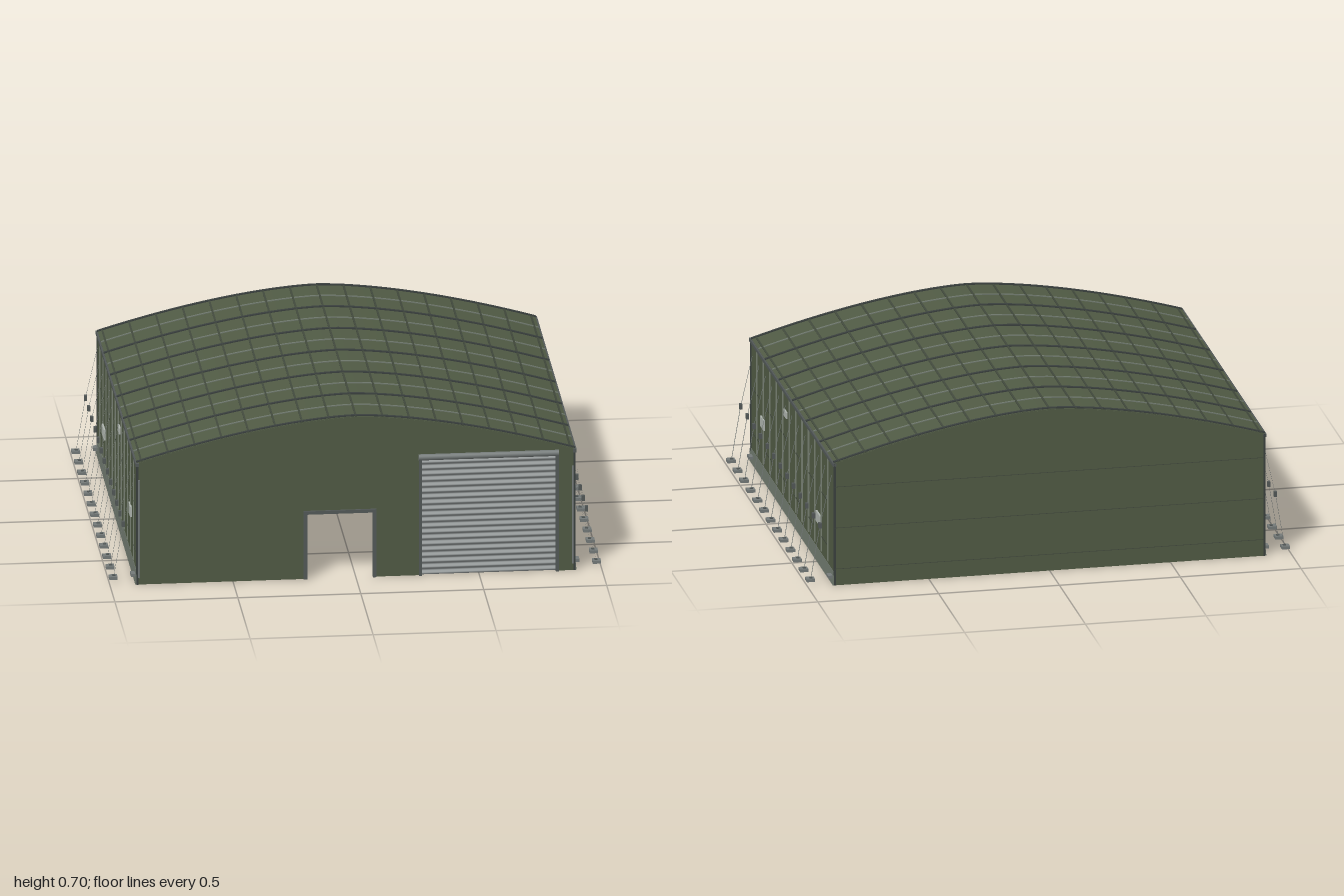
import * as THREE from 'three';

const mat = (name, color, side = THREE.FrontSide) => {
  const m = new THREE.MeshStandardMaterial({ color, side });
  m.name = name;
  return m;
};

export function createModel() {
  const canvas = mat('olive canvas', 0x505a44);
  const frame = mat('dark frame', 0x3a403e);
  const seam = mat('dark olive seam', 0x41493c);
  const rail = mat('rail grey', 0x525857);
  const strap = mat('grey green strap', 0x798273);
  const steel = mat('grey steel', 0x737978, THREE.DoubleSide);
  const slat = mat('shutter grey', 0x8c9191, THREE.DoubleSide);
  const skirtGrey = mat('skirt grey', 0x6d766b);
  const patch = mat('pale patch', 0xaeb4ae);

  const root = new THREE.Group();
  root.name = 'archedShelter';
  const W = 0.89, Z0 = -0.81, Z1 = 0.8, EAVE = 0.52;
  const L = Z1 - Z0, ZC = (Z0 + Z1) / 2;
  const roofY = x => 0.69 - 0.168 * Math.pow(Math.abs(x) / W, 1.6);

  const add = (name, geo, m, x = 0, y = 0, z = 0, parent = root) => {
    const mesh = new THREE.Mesh(geo, m);
    mesh.name = name;
    mesh.position.set(x, y, z);
    parent.add(mesh);
    return mesh;
  };
  const box = (name, m, w, h, d, x, y, z, parent) =>
    add(name, new THREE.BoxGeometry(w, h, d), m, x, y, z, parent);

  // band following the roof curve, between two offsets from it
  const N = 48;
  const arch = (name, m, low, high, z, depth, w = W) => {
    const s = new THREE.Shape();
    for (let i = 0; i <= N; i++) {
      const x = -w + 2 * w * i / N;
      if (i) s.lineTo(x, roofY(x) + high); else s.moveTo(x, roofY(x) + high);
    }
    for (let i = N; i >= 0; i--) {
      const x = -w + 2 * w * i / N;
      s.lineTo(x, roofY(x) + low);
    }
    s.closePath();
    return add(name, new THREE.ExtrudeGeometry(s, { depth, bevelEnabled: false }), m, 0, 0, z);
  };

  // end wall, with optional openings reaching the ground
  const gable = (name, z, openings) => {
    const s = new THREE.Shape();
    s.moveTo(-W, 0);
    for (const [a, b, h] of openings) {
      s.lineTo(a, 0); s.lineTo(a, h); s.lineTo(b, h); s.lineTo(b, 0);
    }
    s.lineTo(W, 0);
    for (let i = N; i >= 0; i--) {
      const x = -W + 2 * W * i / N;
      s.lineTo(x, roofY(x) - 0.004);
    }
    s.closePath();
    add(name, new THREE.ExtrudeGeometry(s, { depth: 0.008, bevelEnabled: false }), canvas, 0, 0, z);
  };
  gable('frontWall', Z1 - 0.007, [[-0.2, 0.07, 0.28], [0.265, 0.815, 0.5]]);
  gable('backWall', Z0 - 0.001, []);
  for (const y of [0.07, 0.245, 0.42])
    box('backWallSeam', seam, 2 * W, 0.0025, 0.01, 0, y, Z0 + 0.003);

  // roof shell, main arches and lighter straps between them
  arch('roof', canvas, -0.01, 0, Z0, L);
  const bay = (L - 0.02) / 6;
  const archZ = i => Z0 + 0.01 + bay * i;
  for (let i = 0; i <= 6; i++) {
    arch('roofArch', frame, -0.004, 0.005, archZ(i) - 0.006, 0.012, W + 0.002);
    const inset = i === 0 ? 0.006 : i === 6 ? -0.008 : 0;
    arch('innerArch', frame, -0.026, -0.01, archZ(i) - 0.007 + inset, 0.014, W - 0.01);
    if (i < 6) arch('roofStrap', skirtGrey, -0.002, 0.003, archZ(i + 0.5) - 0.005, 0.01);
  }
  // purlins, tilted to the roof slope
  for (let i = -8; i <= 8; i++) {
    const x = i * 0.109, e = 0.005;
    const tilt = Math.atan2(roofY(x + e) - roofY(x - e), 2 * e);
    const p = box('purlin', seam, 0.008, 0.005, L, x, roofY(x) + 0.0005, ZC);
    const q = box('innerPurlin', seam, 0.007, 0.007, L - 0.02, x * 0.99, roofY(x) - 0.014, ZC);
    p.rotation.z = q.rotation.z = tilt;
  }

  // doorway frame
  const door = new THREE.Group();
  door.name = 'doorwayFrame';
  root.add(door);
  for (const x of [-0.206, 0.076]) box('doorPost', rail, 0.015, 0.292, 0.018, x, 0.146, Z1, door);
  box('doorLintel', rail, 0.267, 0.014, 0.018, -0.065, 0.285, Z1, door);

  // roller shutter with wavy slats, rails and drum
  const shutter = new THREE.Group();
  shutter.name = 'rollerShutter';
  root.add(shutter);
  const sheet = new THREE.PlaneGeometry(0.55, 0.5, 1, 160);
  const pos = sheet.attributes.position;
  for (let i = 0; i < pos.count; i++)
    pos.setZ(i, 0.0043 * Math.sin(pos.getY(i) * 2 * Math.PI / 0.025));
  sheet.computeVertexNormals();
  add('shutterSheet', sheet, slat, 0.54, 0.252, Z1 - 0.002, shutter);
  for (const x of [0.262, 0.818]) box('shutterRail', rail, 0.012, 0.51, 0.022, x, 0.255, Z1, shutter);
  const drum = new THREE.CylinderGeometry(0.013, 0.013, 0.57, 16).rotateZ(Math.PI / 2);
  add('shutterDrum', drum, steel, 0.54, 0.506, Z1 + 0.002, shutter);

  // flat cord running in x and y, its width along z
  const cord = (name, [x1, y1], [x2, y2], z, width, parent) => {
    const geo = new THREE.PlaneGeometry(Math.hypot(x2 - x1, y2 - y1), width).rotateX(-Math.PI / 2);
    const mesh = add(name, geo, steel, (x1 + x2) / 2, (y1 + y2) / 2, z, parent);
    mesh.rotation.z = Math.atan((y2 - y1) / (x2 - x1));
  };

  // long sides, mirrored
  for (const s of [-1, 1]) {
    const side = new THREE.Group();
    side.name = s > 0 ? 'leftSide' : 'rightSide';
    root.add(side);
    box('sideWall', canvas, 0.008, EAVE, L, s * (W - 0.004), EAVE / 2, ZC, side);
    box('eaveRail', rail, 0.014, 0.014, L + 0.01, s * W, EAVE - 0.006, ZC + 0.003, side);
    const skirt = box('groundSkirt', skirtGrey, 0.005, 0.054, L, s * (W + 0.002), 0.027, ZC, side);
    skirt.rotation.z = s * 0.1;

    // corner posts, pipes and brackets
    for (const z of [Z0 + 0.003, Z1 - 0.001])
      box('cornerPost', frame, 0.008, EAVE, 0.01, s * (W - 0.001), EAVE / 2, z, side);
    add('cornerPipe', new THREE.CylinderGeometry(0.004, 0.004, 0.42, 8), steel,
      s * 0.882, 0.24, Z1 + 0.006, side);
    for (const z of [-0.775, 0.755])
      box('cornerBracket', steel, 0.018, 0.012, 0.035, s * 0.903, 0.03, z, side);

    // inner posts and girts
    for (let i = 0; i <= 6; i++)
      box('innerPost', steel, 0.014, EAVE - 0.02, 0.014, s * (W - 0.015), EAVE / 2,
        THREE.MathUtils.clamp(archZ(i), Z0 + 0.016, Z1 - 0.016), side);
    for (const y of [0.13, 0.32]) {
      box('innerGirt', rail, 0.004, 0.004, L - 0.02, s * (W - 0.01), y, ZC, side);
      for (let i = 0; i < 6; i++)
        box('lacing', seam, 0.003, 0.005, 0.12, s * (W + 0.001), y, archZ(i + 0.5) + 0.05, side);
    }

    // vertical straps between the guy lines
    for (let i = 0; i < 12; i++)
      box('wallStrap', strap, 0.006, 0.44, 0.012, s * (W + 0.001), 0.285, -0.69 + i * 0.1245, side);

    // pale patches: z, y, length, height
    for (const [z, y, d, h] of [[0.56, 0.238, 0.066, 0.044], [0.117, 0.425, 0.052, 0.027],
      [-0.496, 0.19, 0.037, 0.044], [-0.538, 0.19, 0.042, 0.044]])
      box('wallPatch', patch, 0.007, h, d, s * (W + 0.004), y, z, side);

    // guy lines with tensioners and ground feet
    for (let i = 0; i < 13; i++) {
      const z = -0.773 + i * 0.1275;
      const guy = new THREE.Group();
      guy.name = 'guyLine';
      side.add(guy);
      cord('upperCord', [s * 0.894, 0.46], [s * 0.942, 0.25], z, 0.007, guy);
      cord('lowerCord', [s * 0.942, 0.25], [s * 0.98, 0.025], z, 0.009, guy);
      box('tensioner', rail, 0.012, 0.022, 0.016, s * 0.942, 0.248, z, guy);
      box('groundFoot', steel, 0.034, 0.012, 0.036, s * 0.983, 0.02, z, guy);
      box('footClamp', rail, 0.012, 0.006, 0.012, s * 0.98, 0.027, z, guy);
    }
  }
  return root;
}
